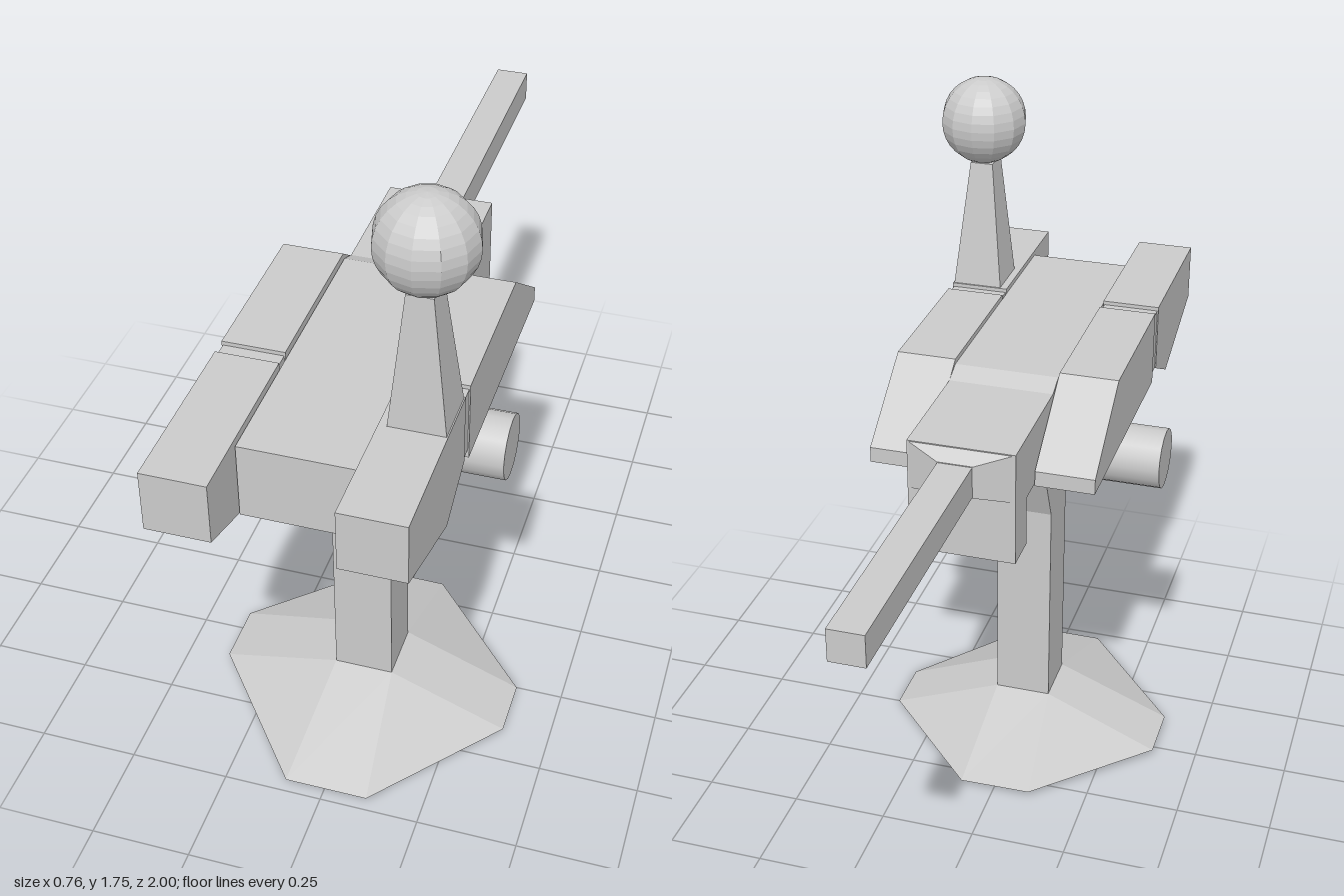
import * as THREE from 'three';

const flat = new THREE.MeshStandardMaterial({ color: 0xcccccc, flatShading: true });
const smooth = new THREE.MeshStandardMaterial({ color: 0xcccccc });

function addMesh(parent, name, geometry, material = flat) {
  const mesh = new THREE.Mesh(geometry, material);
  mesh.name = name;
  parent.add(mesh);
  return mesh;
}

// Side profile given as [z, y] points, spanning x0..x1
function slab(profile, x0, x1) {
  const shape = new THREE.Shape(profile.map(([z, y]) => new THREE.Vector2(z, y)));
  const geo = new THREE.ExtrudeGeometry(shape, { depth: x1 - x0, bevelEnabled: false });
  return geo.rotateY(-Math.PI / 2).translate(x1, 0, 0);
}

// Box between two corners
function block([x0, y0, z0], [x1, y1, z1]) {
  return new THREE.BoxGeometry(x1 - x0, y1 - y0, z1 - z0)
    .translate((x0 + x1) / 2, (y0 + y1) / 2, (z0 + z1) / 2);
}

// Box whose eight corners are placed by a rule taking unit signs
function warpedBox(rule) {
  const geo = new THREE.BoxGeometry(2, 2, 2);
  const p = geo.attributes.position;
  for (let i = 0; i < p.count; i++) p.setXYZ(i, ...rule(p.getX(i), p.getY(i), p.getZ(i)));
  geo.computeVertexNormals();
  return geo;
}

// Eight-sided sloping foot, slightly hollow below
function footGeometry() {
  const rim = [
    [0.38, 0, 0.25], [0.38, 0, 0.4], [0.11, 0.005, 0.72], [-0.1, 0.005, 0.72],
    [-0.385, 0.02, 0.37], [-0.385, 0.02, 0.21], [-0.1, 0.015, -0.06], [0.09, 0.012, -0.06],
  ];
  const top = rim.map(([x, , z]) => [x > 0 ? 0.08 : -0.07, 0.12, z > 0.3 ? 0.4 : 0.25]);
  const under = [0, 0.04, 0.33], cap = [0, 0.12, 0.33];
  const pos = [];
  rim.forEach((a, i) => {
    const j = (i + 1) % rim.length, b = rim[j];
    pos.push(...b, ...a, ...top[i], ...b, ...top[i], ...top[j]);
    pos.push(...a, ...b, ...under, ...top[j], ...top[i], ...cap);
  });
  const geo = new THREE.BufferGeometry();
  geo.setAttribute('position', new THREE.Float32BufferAttribute(pos, 3));
  geo.computeVertexNormals();
  return geo;
}

export function createModel() {
  const model = new THREE.Group();
  model.name = 'mountedGun';

  // Stand
  const stand = new THREE.Group();
  stand.name = 'stand';
  model.add(stand);
  addMesh(stand, 'foot', footGeometry());
  addMesh(stand, 'post', slab([
    [0.25, 0.12], [0.4, 0.12], [0.4, 0.71], [0.458, 0.83], [0.45, 0.96], [0.435, 1.0],
    [0.21, 1.0], [0.197, 0.96], [0.197, 0.83], [0.25, 0.71],
  ], -0.07, 0.08));
  addMesh(stand, 'axle',
    new THREE.CylinderGeometry(0.08, 0.08, 0.71, 16).rotateZ(Math.PI / 2).translate(0, 0.885, 0.33), smooth);

  // Central body with the hanging rear block
  addMesh(model, 'body', slab([
    [0.85, 1.0], [0.85, 1.187], [0.12, 1.187], [0.07, 1.165], [-0.255, 1.165],
    [-0.255, 0.87], [-0.16, 0.87], [-0.16, 1.0],
  ], -0.117, 0.15));

  // Barrel and its tapered collar
  addMesh(model, 'collar', warpedBox((x, y, z) => z > 0
    ? [0.018 + x * 0.13, 1.1 + y * 0.063, -0.254]
    : [0.02 + x * 0.044, 1.097 + y * 0.042, -0.29]));
  addMesh(model, 'barrel', block([-0.022, 1.057, -1], [0.063, 1.137, -0.285]));

  // Side armour: sloped rear plate, shallow groove and front pod on each side
  for (const [side, x0, x1] of [['left', 0.15, 0.302], ['right', -0.27, -0.12]]) {
    const armour = new THREE.Group();
    armour.name = side + 'Armour';
    model.add(armour);
    addMesh(armour, 'rearPlate', slab([
      [0.53, 1.0], [0.53, 1.2], [0.12, 1.2], [-0.1, 1.04], [-0.1, 1.0],
    ], x0, x1));
    addMesh(armour, 'groove', block([x0 + 0.003, 1.022, 0.525], [x1 - 0.003, 1.19, 0.575]));
    addMesh(armour, 'frontPod', slab([
      [1, 1.05], [1, 1.2], [0.57, 1.2], [0.57, 1.022], [0.71, 0.952],
    ], x0, x1));
  }

  // Lever with ball knob on the left pod
  addMesh(model, 'lever', warpedBox((x, y, z) => y > 0
    ? [0.234 + x * 0.03, 1.53, 0.657 + z * 0.038]
    : [0.234 + x * 0.066, 1.19, 0.643 + z * 0.07]));
  addMesh(model, 'knob', new THREE.SphereGeometry(0.113, 12, 16), flat).position.set(0.237, 1.638, 0.655);

  return model;
}
